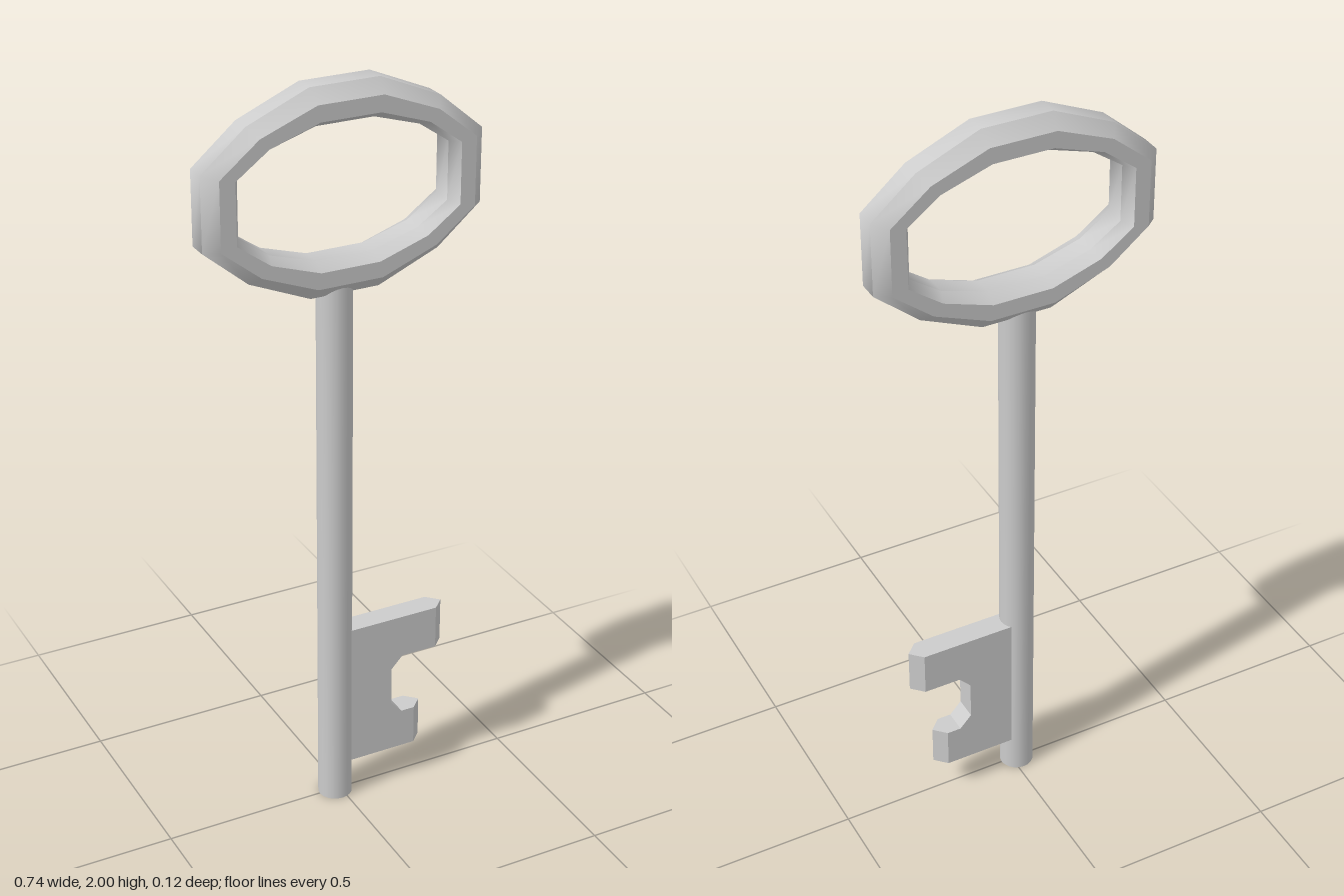
import * as THREE from 'three';

const material = new THREE.MeshStandardMaterial({ color: 0xcccccc, side: THREE.DoubleSide });

function part(name, geometry) {
  const mesh = new THREE.Mesh(geometry, material);
  mesh.name = name;
  return mesh;
}

// Mirror one quadrant of corners into a closed 12-sided oval, counter-clockwise
function oval(quadrant) {
  const half = [...quadrant, ...quadrant.map(([x, y]) => [-x, y]).reverse()];
  return [...half, ...half.map(([x, y]) => [-x, -y])];
}

// Oval grip: an eight-sided section swept round; smooth along, sharp across
function bowGeometry() {
  const outer = oval([[0.37, 0.095], [0.254, 0.193], [0.092, 0.262]]);
  const inner = oval([[0.278, 0.075], [0.198, 0.13], [0.076, 0.167]]);
  // [inset from outer (0) to inner (1), z]
  const section = [[0, -0.027], [0, 0.027], [0.36, 0.06], [0.8, 0.06],
    [1, 0.027], [1, -0.027], [0.8, -0.06], [0.36, -0.06]];
  const n = outer.length;
  const positions = [], indices = [];
  section.forEach((a, s) => {
    const b = section[(s + 1) % section.length];
    const base = positions.length / 3;
    for (let i = 0; i < n; i++) {
      for (const [t, z] of [a, b]) {
        positions.push(
          THREE.MathUtils.lerp(outer[i][0], inner[i][0], t),
          THREE.MathUtils.lerp(outer[i][1], inner[i][1], t), z);
      }
      const p = base + 2 * i, q = base + 2 * ((i + 1) % n);
      indices.push(p, q, p + 1, q, q + 1, p + 1);
    }
  });
  const g = new THREE.BufferGeometry();
  g.setAttribute('position', new THREE.Float32BufferAttribute(positions, 3));
  g.setIndex(indices);
  g.computeVertexNormals();
  return g;
}

// Notched bit whose two prong ends come to a vertical ridge
function bitGeometry() {
  const half = 0.031;
  const outline = [[-0.01, 0.103], [0.21, 0.103], [0.21, 0.215], [0.172, 0.215],
    [0.14, 0.25], [0.14, 0.358], [0.172, 0.392], [0.272, 0.392], [0.272, 0.513], [-0.01, 0.513]];
  const shape = new THREE.Shape(outline.map(([x, y]) => new THREE.Vector2(x, y)));
  const g = new THREE.ExtrudeGeometry(shape, { depth: 2 * half, steps: 2, bevelEnabled: false });
  g.translate(0, 0, -half);
  const pos = g.attributes.position;
  for (let i = 0; i < pos.count; i++) {
    if (Math.abs(pos.getZ(i)) < 0.001 && pos.getX(i) > 0.2) pos.setX(i, pos.getX(i) + 0.031);
  }
  g.computeVertexNormals();
  return g;
}

export function createModel() {
  const key = new THREE.Group();
  key.name = 'key';

  const bow = part('bow', bowGeometry());
  bow.position.y = 1.738;

  const shaft = part('shaft', new THREE.CylinderGeometry(0.046, 0.046, 1.52, 20));
  shaft.position.set(-0.015, 0.76, 0.001);

  key.add(bow, shaft, part('bit', bitGeometry()));
  return key;
}
